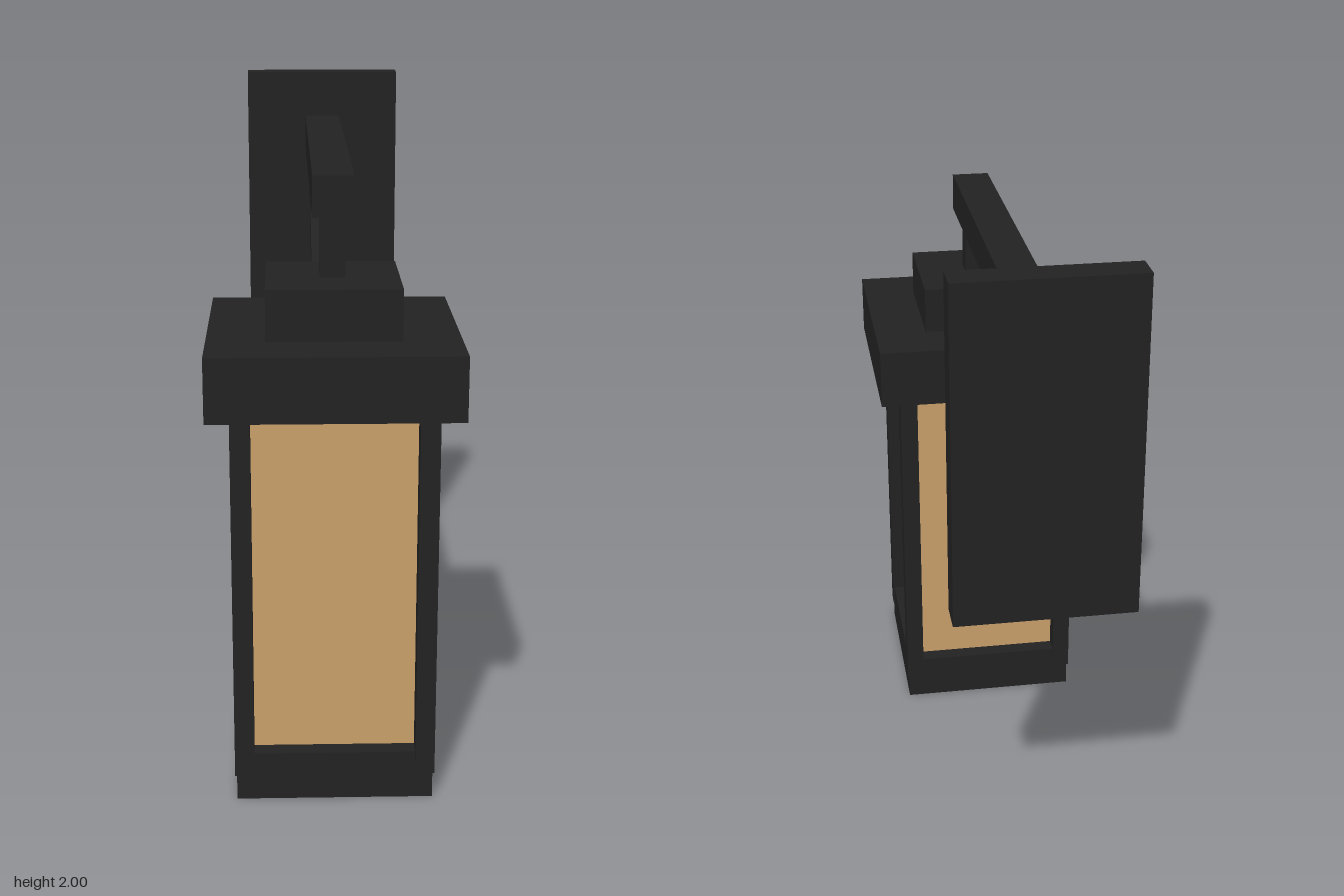
import * as THREE from 'three';

export function createModel() {
  const model = new THREE.Group();
  model.name = 'wallLantern';

  const blackMetal = new THREE.MeshStandardMaterial({ color: 0x222222 });
  blackMetal.name = 'blackMetal';
  const amberGlass = new THREE.MeshStandardMaterial({ color: 0xc9a06a });
  amberGlass.name = 'amberGlass';

  // Box given by its centre in x and z, its bottom and top in y
  function block(parent, name, material, w, d, y0, y1, x, z) {
    const mesh = new THREE.Mesh(new THREE.BoxGeometry(w, y1 - y0, d), material);
    mesh.position.set(x, (y0 + y1) / 2, z);
    mesh.name = name;
    parent.add(mesh);
    return mesh;
  }

  // Lantern body
  const lantern = new THREE.Group();
  lantern.name = 'lantern';
  lantern.position.z = 0.525;
  model.add(lantern);
  block(lantern, 'base', blackMetal, 0.585, 0.585, 0, 0.15, 0, 0);
  block(lantern, 'glass', amberGlass, 0.48, 0.48, 0.15, 1.17, 0, 0);
  for (const sx of [-1, 1]) {
    for (const sz of [-1, 1]) {
      block(lantern, 'cornerPost', blackMetal, 0.058, 0.058, 0.08, 1.2, sx * 0.269, sz * 0.269);
    }
  }
  block(lantern, 'roof', blackMetal, 0.73, 0.73, 1.2, 1.39, 0, 0);
  block(lantern, 'roofCap', blackMetal, 0.39, 0.39, 1.39, 1.54, 0, 0);
  block(lantern, 'hangingStem', blackMetal, 0.073, 0.073, 1.54, 1.73, 0, 0);

  // Wall bracket
  const bracket = new THREE.Group();
  bracket.name = 'bracket';
  model.add(bracket);
  block(bracket, 'wallPlate', blackMetal, 0.535, 0.097, 0.98, 2, 0, -0.842);
  block(bracket, 'arm', blackMetal, 0.12, 1.42, 1.725, 1.845, 0, -0.09);

  // Sloping brace, from its free front end up into the wall plate
  const front = new THREE.Vector3(0, 0.993, 0.147);
  const back = new THREE.Vector3(0, 1.69, -0.84);
  const brace = new THREE.Mesh(
    new THREE.BoxGeometry(0.094, 0.094, front.distanceTo(back)), blackMetal);
  brace.name = 'brace';
  brace.position.addVectors(front, back).multiplyScalar(0.5);
  brace.rotation.x = Math.atan2(back.y - front.y, front.z - back.z);
  bracket.add(brace);

  return model;
}
